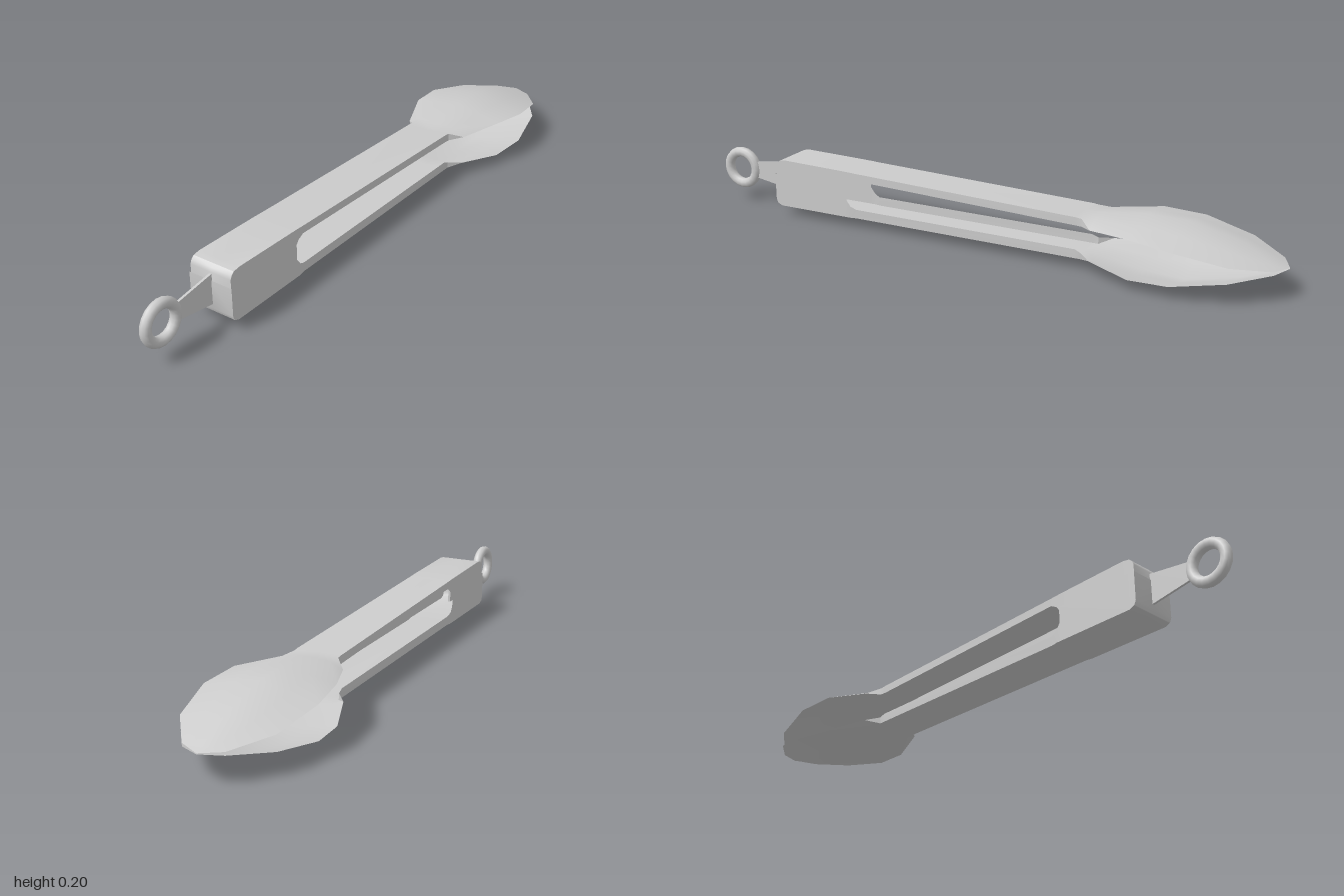
import * as THREE from 'three';
import { toCreasedNormals } from 'three/addons/utils/BufferGeometryUtils.js';

const metal = new THREE.MeshStandardMaterial({ color: 0xcccccc, side: THREE.DoubleSide });

// Lofts a channel section along -z. Station: [z, ridgeY, shoulderX, shoulderY, rimX, rimY]
function loftArm(stations, facesDown) {
  const pos = [], index = [], n = 5;
  for (const [z, ridge, sx, sy, rx, ry] of stations) {
    pos.push(-rx, ry, z, -sx, sy, z, 0, ridge, z, sx, sy, z, rx, ry, z);
  }
  for (let i = 0; i < stations.length - 1; i++) {
    for (let j = 0; j < n - 1; j++) {
      const a = i * n + j, b = a + 1, c = a + n, d = c + 1;
      // mirror the diagonals left to right
      const tris = j < 2 ? [a, b, c, b, d, c] : [a, b, d, a, d, c];
      if (facesDown) tris.reverse();
      index.push(...tris);
    }
  }
  const g = new THREE.BufferGeometry();
  g.setAttribute('position', new THREE.Float32BufferAttribute(pos, 3));
  g.setIndex(index);
  return toCreasedNormals(g, 0.55);
}

// Handle station with a flat back and upright flanges
const channel = (z, y, rim, w) => [z, y, w, y, w, rim];
// Spoon station with a shallow V section
const scoop = (z, ridge, rimX, rimY) => [z, ridge, rimX / 2, (ridge + rimY) / 2, rimX, rimY];

export function createModel() {
  const group = new THREE.Group();
  const add = (name, geometry) => {
    const mesh = new THREE.Mesh(geometry, metal);
    mesh.name = name;
    group.add(mesh);
    return mesh;
  };

  // Upper arm: rounded closed end, deep cheeks, slim channel, spoon head
  const w = 0.073;
  add('upperArm', loftArm([
    channel(0.727, 0.08, 0.08, w),
    channel(0.727, 0.172, 0.08, w),
    channel(0.722, 0.184, 0.08, w),
    channel(0.712, 0.193, 0.08, w),
    channel(0.69, 0.197, 0.08, w),
    channel(0.462, 0.192, 0.08, w),
    channel(0.46, 0.192, 0.115, w),
    channel(0.43, 0.191, 0.154, w),
    channel(0.41, 0.19, 0.165, w),
    channel(-0.37, 0.167, 0.141, w),
    [-0.39, 0.166, w, 0.165, 0.075, 0.141],
    [-0.43, 0.17, 0.07, 0.165, 0.11, 0.147],
    scoop(-0.57, 0.188, 0.165, 0.16),
    scoop(-0.7, 0.187, 0.18, 0.149),
    scoop(-0.86, 0.15, 0.148, 0.119),
    scoop(-0.97, 0.106, 0.065, 0.098),
    scoop(-1, 0.094, 0.001, 0.094),
  ], false));

  // Lower arm: slightly wider cheeks that wrap the upper arm at the hinge
  const W = 0.077;
  add('lowerArm', loftArm([
    channel(0.73, 0.147, 0.147, W),
    channel(0.73, 0.056, 0.147, W),
    channel(0.724, 0.042, 0.147, W),
    channel(0.708, 0.035, 0.147, W),
    channel(0.445, 0.035, 0.147, W),
    channel(0.46, 0.035, 0.115, W),
    channel(0.43, 0.035, 0.074, W),
    channel(0.41, 0.035, 0.065, w),
    channel(-0.37, 0.035, 0.064, w),
    [-0.39, 0.034, w, 0.035, 0.075, 0.056],
    [-0.43, 0.028, 0.07, 0.034, 0.11, 0.049],
    scoop(-0.57, 0.006, 0.165, 0.036),
    scoop(-0.7, 0.001, 0.18, 0.045),
    scoop(-0.86, 0.038, 0.148, 0.071),
    scoop(-0.97, 0.08, 0.065, 0.088),
    scoop(-1, 0.091, 0.001, 0.091),
  ], true));

  // Thin tapered pull tab; shape x runs along z
  const tab = new THREE.Shape([[0.6, 0.06], [0.73, 0.07], [0.865, 0.092], [0.865, 0.148],
    [0.73, 0.167], [0.6, 0.175]].map(([z, y]) => new THREE.Vector2(z, y)));
  const tabGeo = new THREE.ExtrudeGeometry(tab, { depth: 0.008, bevelEnabled: false });
  tabGeo.translate(0, 0, -0.004).rotateY(-Math.PI / 2);
  add('pullTab', tabGeo);

  // Hanging ring
  const ring = add('hangingRing', new THREE.TorusGeometry(0.057, 0.017, 10, 20));
  ring.rotation.y = Math.PI / 2;
  ring.position.set(0, 0.12, 0.926);

  return group;
}
